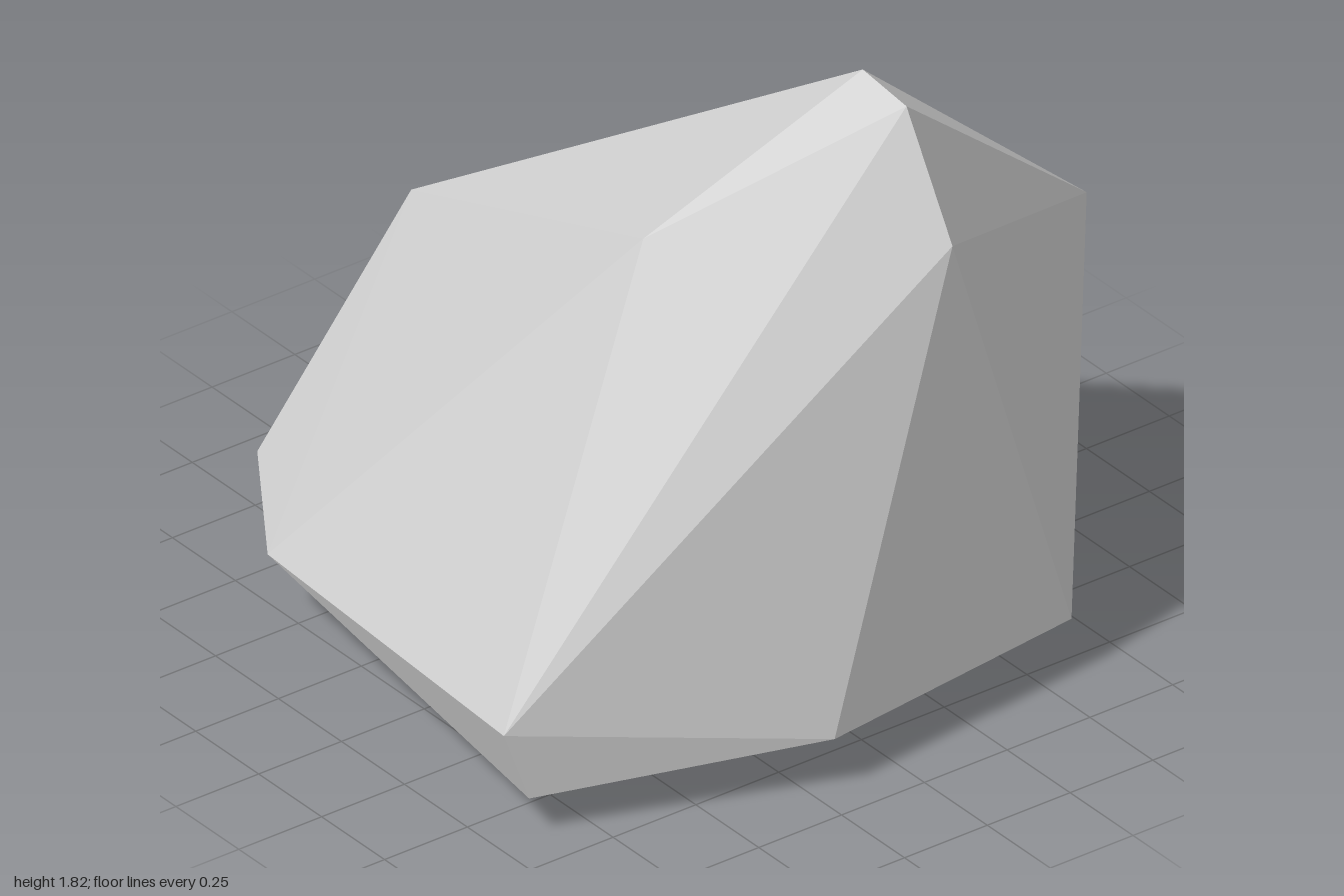
import * as THREE from 'three';
import { ConvexGeometry } from 'three/addons/geometries/ConvexGeometry.js';

export function createModel() {
  const group = new THREE.Group();
  group.name = 'rock';

  const stone = new THREE.MeshStandardMaterial({ color: 0xd4d4d4 });
  stone.name = 'pale grey stone';

  // Corners of the boulder, grouped by height
  const peak = [[0.065, 1.82, 0.67], [0.06, 1.805, 0.85], [0.085, 1.475, 1], [-0.415, 1.405, 0.43]];
  const shoulders = [[1, 0.97, 0.33], [-0.12, 0.805, -0.88], [0.49, 0.525, -0.63], [-1, 0.325, 0.645]];
  const skirt = [
    [0.57, 0.172, 0.835], [0.8, 0.15, -0.09], [0.08, 0.17, -1], [-0.585, 0.24, -0.88],
    [-0.835, 0.22, -0.51], [-0.92, 0.118, 0.64], [-0.21, 0.16, 0.92],
  ];
  const foot = [[0.06, 0, -0.82]];

  // Flat facets stretched over all the corners
  const corners = [...peak, ...shoulders, ...skirt, ...foot].map((p) => new THREE.Vector3(...p));
  const boulder = new THREE.Mesh(new ConvexGeometry(corners), stone);
  boulder.name = 'boulder';
  group.add(boulder);
  return group;
}
